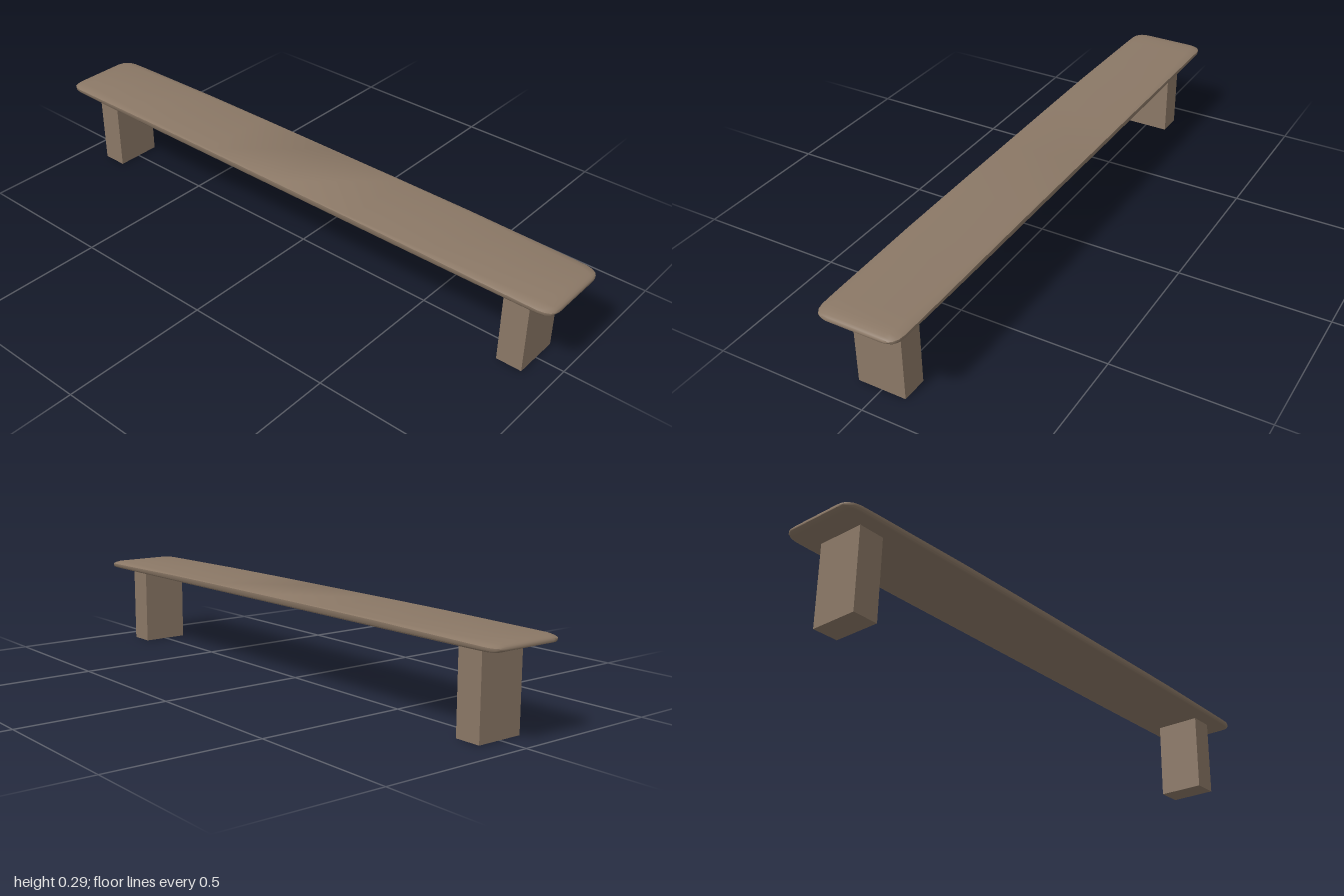
import * as THREE from 'three';
import { toCreasedNormals } from 'three/addons/utils/BufferGeometryUtils.js';

// Stations from the middle to one end: x, half width, edge rounding, edge drop, top height
const HALF = [
  [0, 0.137, 0.006, 0.002, 0.295],
  [0.3, 0.137, 0.008, 0.002, 0.295],
  [0.55, 0.137, 0.014, 0.003, 0.295],
  [0.75, 0.136, 0.022, 0.006, 0.295],
  [0.9, 0.135, 0.028, 0.008, 0.295],
  [0.955, 0.134, 0.030, 0.009, 0.295],
  [0.975, 0.130, 0.030, 0.008, 0.293],
  [0.99, 0.121, 0.028, 0.006, 0.290],
  [0.997, 0.110, 0.024, 0.004, 0.287],
  [1, 0.100, 0.020, 0.002, 0.283],
];

// Cross-section of the plank: flat bottom, eased lower edges, rounded upper edges
function section([x, w, round, drop, top]) {
  const low = 0.271 + 0.005 * THREE.MathUtils.smoothstep(Math.abs(x), 0.985, 1);
  const side = [
    [w - 0.010, low],
    [w - 0.003, low + 0.002],
    [w, Math.min(low + 0.006, top - drop - 0.001)],
    [w, top - drop],
    [w - round * 0.3, top - drop * 0.45],
    [w - round, top],
  ];
  const mirrored = side.map(([z, y]) => [-z, y]).reverse();
  return [...side, ...mirrored].map(([z, y]) => [x, y, z]);
}

function plankGeometry() {
  const stations = [
    ...HALF.slice(1).reverse().map(([x, ...rest]) => [-x, ...rest]),
    ...HALF,
  ];
  const rings = stations.map(section);
  const n = rings[0].length;
  const index = [];
  for (let i = 0; i < rings.length - 1; i++) {
    for (let j = 0; j < n; j++) {
      const k = (j + 1) % n;
      const a = i * n + j, b = i * n + k, c = a + n, d = b + n;
      index.push(a, c, d, a, d, b);
    }
  }
  // End caps
  const last = (rings.length - 1) * n;
  for (let j = 1; j < n - 1; j++) {
    index.push(0, j, j + 1, last, last + j + 1, last + j);
  }
  const geometry = new THREE.BufferGeometry();
  geometry.setAttribute('position', new THREE.Float32BufferAttribute(rings.flat(2), 3));
  geometry.setIndex(index);
  return toCreasedNormals(geometry, 0.75);
}

export function createModel() {
  const model = new THREE.Group();
  model.name = 'bench';
  const wood = new THREE.MeshStandardMaterial({ color: 0x8b7866 });
  wood.name = 'brown wood';

  const seat = new THREE.Mesh(plankGeometry(), wood);
  seat.name = 'seat';
  model.add(seat);

  // Block legs under both ends
  const legGeometry = new THREE.BoxGeometry(0.086, 0.273, 0.16);
  for (const [name, side] of [['leftLeg', 1], ['rightLeg', -1]]) {
    const leg = new THREE.Mesh(legGeometry, wood);
    leg.name = name;
    leg.position.set(side * 0.863, 0.1365, 0);
    model.add(leg);
  }
  return model;
}
